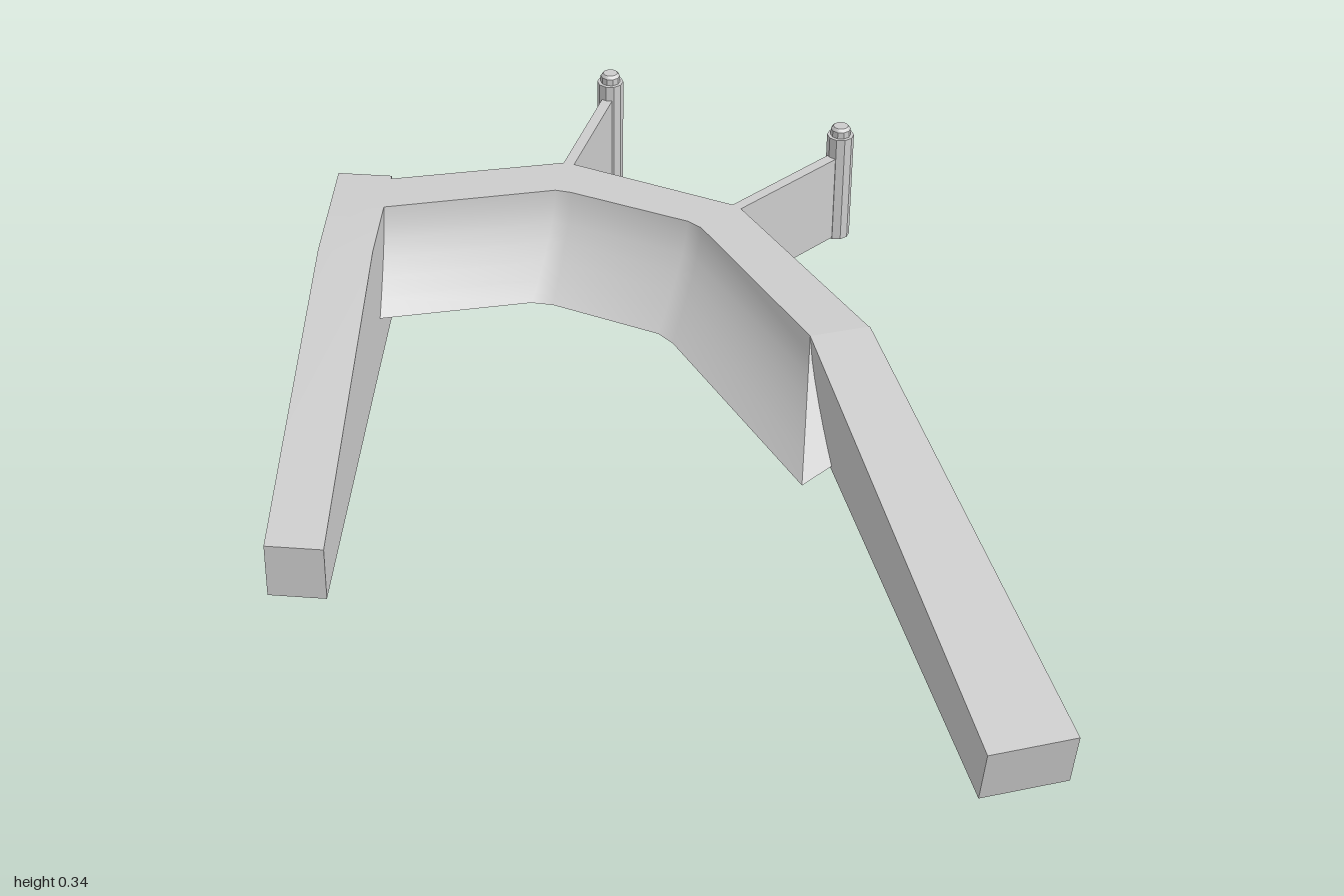
import * as THREE from 'three';
import { toCreasedNormals } from 'three/addons/utils/BufferGeometryUtils.js';

const TOP = 0.28, BASE = 0.095;
const material = new THREE.MeshStandardMaterial({ color: 0xcccccc });

function addMesh(parent, name, geometry) {
  const mesh = new THREE.Mesh(geometry, material);
  mesh.name = name;
  parent.add(mesh);
  return mesh;
}

// Capped solid through rings of points, each ring counterclockwise about the path
function loft(rings) {
  const pos = [];
  const tri = (...pts) => pts.forEach((p) => pos.push(...p));
  const n = rings[0].length;
  for (let i = 0; i < rings.length - 1; i++) {
    for (let j = 0; j < n; j++) {
      const k = (j + 1) % n;
      const a = rings[i][j], b = rings[i][k], c = rings[i + 1][k], d = rings[i + 1][j];
      tri(a, b, c);
      tri(a, c, d);
    }
  }
  const first = rings[0], last = rings[rings.length - 1];
  for (let j = 0; j < n - 2; j++) {
    tri(first[n - 1], first[j + 1], first[j]);
    tri(last[n - 1], last[j], last[j + 1]);
  }
  const geometry = new THREE.BufferGeometry();
  geometry.setAttribute('position', new THREE.Float32BufferAttribute(pos, 3));
  return toCreasedNormals(geometry, 0.5);
}

// Band section: flat outside, top and bottom, with a flared cove inside
function bandRing([outer, innerTop, innerBottom, outerBottom = outer]) {
  const ring = [[outer[0], TOP, outer[1]]];
  const steps = 6;
  for (let i = 0; i <= steps; i++) {
    const u = i / steps, f = Math.pow(u, 1.6);
    ring.push([
      THREE.MathUtils.lerp(innerTop[0], innerBottom[0], f),
      THREE.MathUtils.lerp(TOP, BASE, u),
      THREE.MathUtils.lerp(innerTop[1], innerBottom[1], f),
    ]);
  }
  ring.push([outerBottom[0], BASE, outerBottom[1]]);
  return ring;
}

export function createModel() {
  const model = new THREE.Group();
  model.name = 'bentFrame';

  // Curved band: [outer, inner top, inner bottom, outer bottom] as x, z
  const stations = [
    [[-0.28, -0.768], [-0.31, -0.665], [-0.36, -0.555]],
    [[0.11, -0.73], [0.06, -0.632], [-0.02, -0.525]],
    [[0.11, -0.73], [0.088, -0.615], [0.02, -0.505]],
    [[0.39, -0.475], [0.278, -0.448], [0.19, -0.35]],
    [[0.39, -0.475], [0.296, -0.418], [0.208, -0.31]],
    [[0.492, 0], [0.377, 0], [0.30, 0.2], [0.508, 0.08]],
  ];
  addMesh(model, 'curvedBand', loft(stations.map(bandRing)));

  // Right arm: slopes up, then runs flat past the end of the band
  const armRing = (x1, z1, x2, z2, y) => [[x1, y, z1], [x2, y, z2], [x2, 0, z2], [x1, 0, z1]];
  addMesh(model, 'rightArm', loft([
    armRing(-0.68, 0.13, -0.58, 0.17, 0.11),
    armRing(-0.437, -0.542, -0.337, -0.507, TOP),
    armRing(-0.34, -0.815, -0.24, -0.775, TOP),
  ]));

  // Left arm: tapers down from the band to the ground
  addMesh(model, 'leftArm', loft([
    [[0.345, 0.11, 1], [0.507, 0.11, 1], [0.507, 0, 0.98], [0.345, 0, 0.98]],
    [[0.377, TOP, 0], [0.494, TOP, 0], [0.498, BASE, 0.08], [0.374, BASE, 0.08]],
  ]));

  // Thin fins, each with an upright capped post at its tip
  const fins = [
    { name: 'backFin', from: [0.11, -0.72], to: [0.27, -0.973], low: 0.08 },
    { name: 'sideFin', from: [0.38, -0.47], to: [0.65, -0.615], low: 0.092 },
  ];
  for (const { name, from, to, low } of fins) {
    const fin = new THREE.Group();
    fin.name = name;
    model.add(fin);
    const dx = to[0] - from[0], dz = to[1] - from[1];
    const panel = addMesh(fin, 'panel', new THREE.BoxGeometry(Math.hypot(dx, dz), TOP - BASE, 0.022));
    panel.position.set((from[0] + to[0]) / 2, (TOP + BASE) / 2, (from[1] + to[1]) / 2);
    panel.rotation.y = -Math.atan2(dz, dx);
    const profile = [[0, 0], [0.027, 0], [0.027, 0.232], [0.02, 0.232], [0.02, 0.246], [0.015, 0.252], [0, 0.252]];
    const lathe = new THREE.LatheGeometry(profile.map(([r, y]) => new THREE.Vector2(r, y)), 10);
    const post = addMesh(fin, 'post', toCreasedNormals(lathe, 0.5));
    post.position.set(to[0], low, to[1]);
  }
  return model;
}
